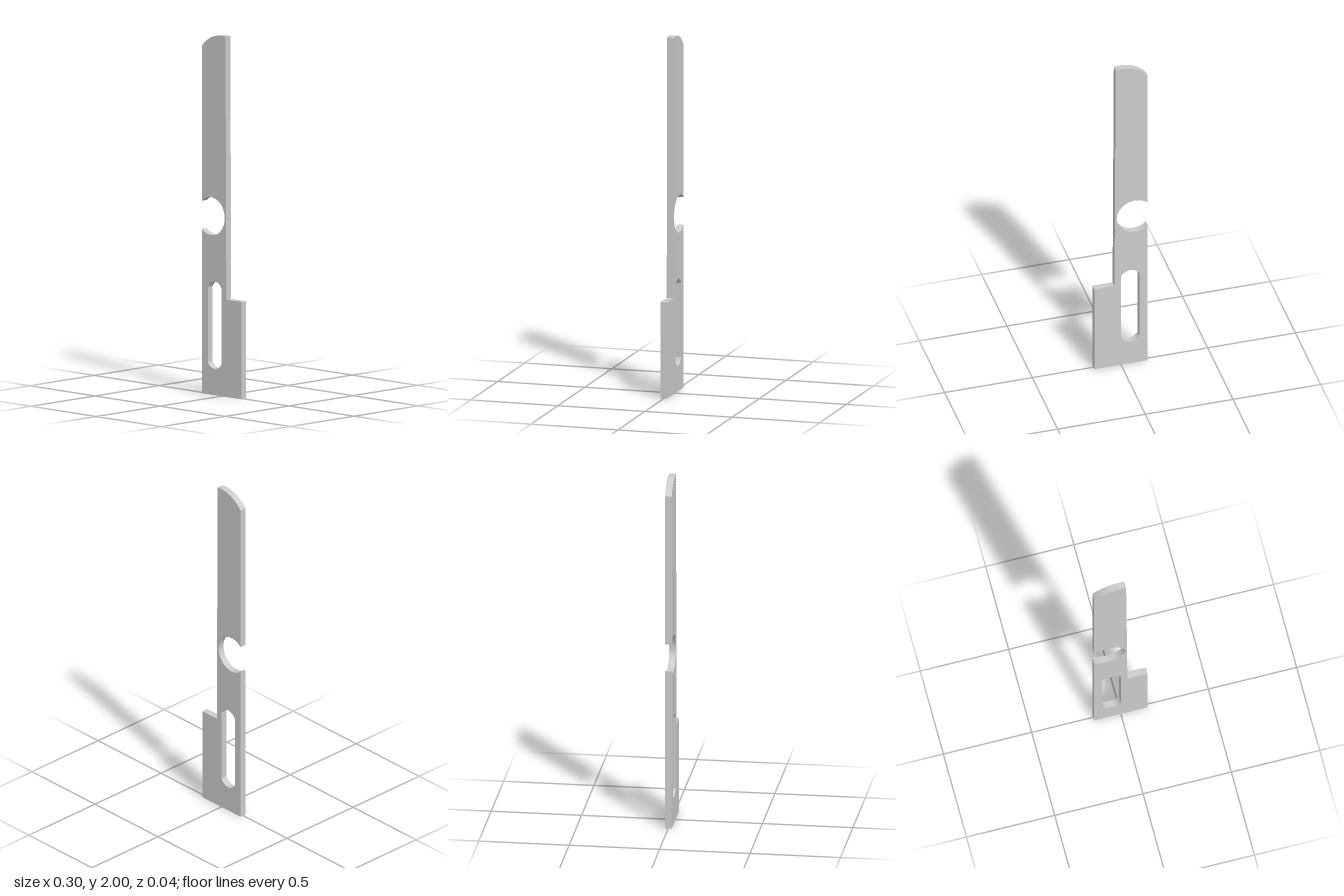
import * as THREE from 'three';

const LEFT = -0.152, RIGHT = 0.152, DEPTH = 0.038;

// Points along a circular arc between two angles
function arc(cx, cy, r, a0, a1, n) {
  return Array.from({ length: n + 1 }, (_, i) => {
    const a = a0 + (a1 - a0) * i / n;
    return new THREE.Vector2(cx + r * Math.cos(a), cy + r * Math.sin(a));
  });
}

export function createModel() {
  const group = new THREE.Group();
  group.name = 'flatGauge';
  const P = (x, y) => new THREE.Vector2(x, y);

  // Rounded tip, from the narrow right edge over to the left edge
  const tipR = 0.193, tipY = 2 - tipR;
  const tip = arc(0, tipY, tipR, Math.acos(0.03 / tipR), Math.acos(LEFT / tipR), 20);

  // Round notch opening through the left edge
  const notchR = 0.105, notchX = -0.081;
  const open = Math.acos((LEFT - notchX) / notchR);
  const notch = arc(notchX, 0.99, notchR, open, -open, 36);

  const outline = new THREE.Shape([
    P(LEFT, 0), P(RIGHT, 0), P(RIGHT, 0.54), P(0.037, 0.54),
    ...tip, ...notch,
  ]);

  // Long slot with shallow curved ends
  const slotX = -0.053, half = 0.053, capR = 0.0576;
  const a = Math.acos(half / capR);
  outline.holes.push(new THREE.Path([
    ...arc(slotX, 0.572, capR, a, Math.PI - a, 14),
    ...arc(slotX, 0.203, capR, Math.PI + a, 2 * Math.PI - a, 14),
  ]));

  const geometry = new THREE.ExtrudeGeometry(outline, { depth: DEPTH, bevelEnabled: false });
  geometry.translate(0, 0, -DEPTH / 2);
  const plate = new THREE.Mesh(geometry, new THREE.MeshStandardMaterial({ color: 0xcccccc }));
  plate.name = 'plate';
  group.add(plate);
  return group;
}
